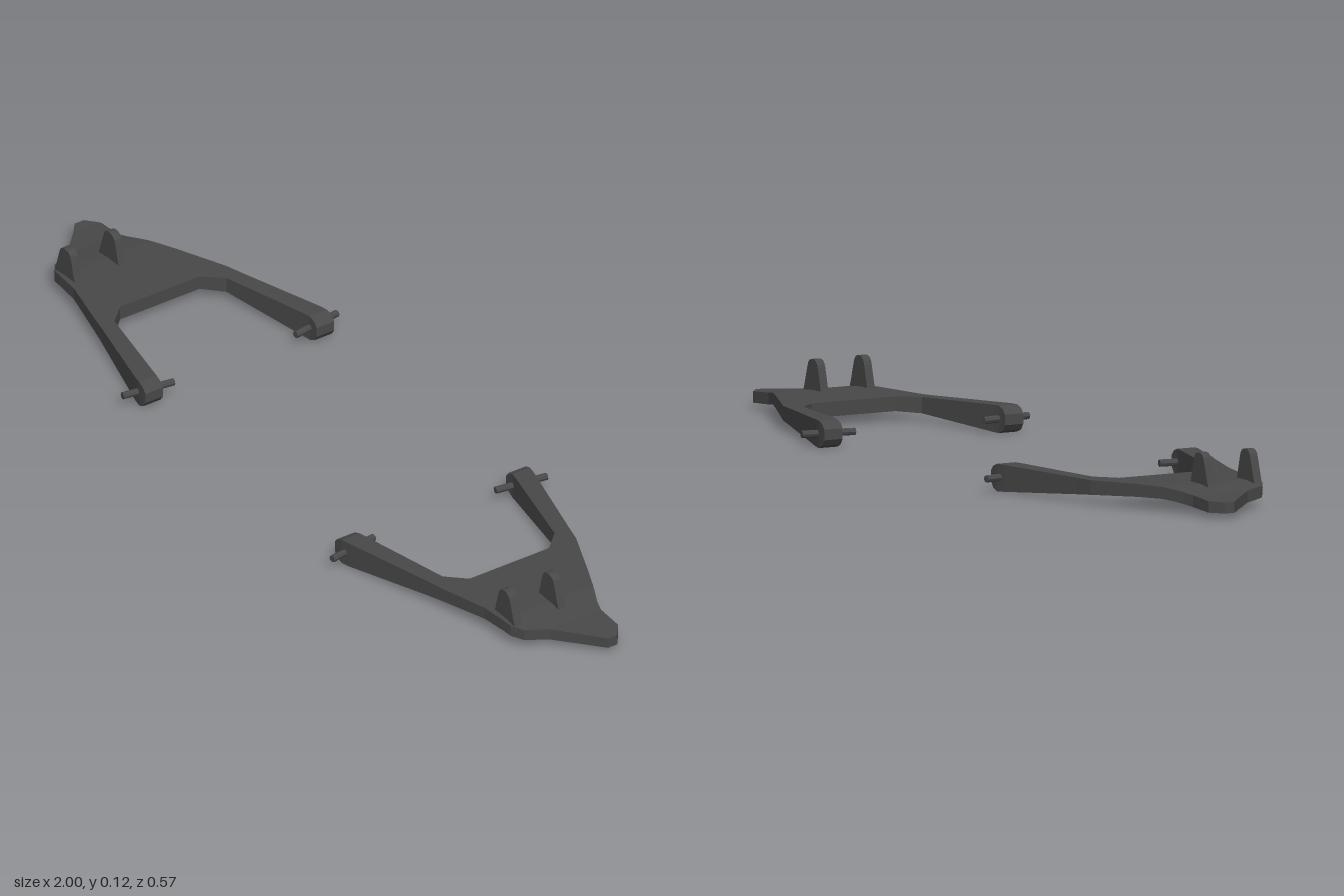
import * as THREE from 'three';

const material = new THREE.MeshStandardMaterial({ color: 0x484848, flatShading: true });

// Loft rectangular sections [x, zBack, zFront, yBottom, yTop] along +x, with end caps.
function loft(sections) {
  const pos = [];
  const corners = ([x, z0, z1, y0, y1]) => [[x, y0, z0], [x, y0, z1], [x, y1, z1], [x, y1, z0]];
  const quad = (a, b, c, d) => pos.push(...a, ...b, ...c, ...a, ...c, ...d);
  const rings = sections.map(corners);
  for (let i = 0; i < rings.length - 1; i++) {
    for (let j = 0; j < 4; j++) {
      const k = (j + 1) % 4;
      quad(rings[i][j], rings[i + 1][j], rings[i + 1][k], rings[i][k]);
    }
  }
  const a = rings[0], b = rings[rings.length - 1];
  quad(a[0], a[1], a[2], a[3]);
  quad(b[3], b[2], b[1], b[0]);
  const geo = new THREE.BufferGeometry();
  geo.setAttribute('position', new THREE.Float32BufferAttribute(pos, 3));
  geo.computeVertexNormals();
  return geo;
}

// Mirror a geometry in x, keeping its faces pointing outwards.
function mirrorX(source) {
  const geo = source.index ? source.toNonIndexed() : source.clone();
  geo.scale(-1, 1, 1);
  const p = geo.attributes.position;
  const a = new THREE.Vector3(), b = new THREE.Vector3();
  for (let i = 0; i < p.count; i += 3) {
    a.fromBufferAttribute(p, i + 1);
    b.fromBufferAttribute(p, i + 2);
    p.setXYZ(i + 1, b.x, b.y, b.z);
    p.setXYZ(i + 2, a.x, a.y, a.z);
  }
  geo.computeVertexNormals();
  return geo;
}

// Arm leg: rounded eyelet end, tapering into the plate; [x, inner z, outer z, yBottom, yTop].
function legGeometry(side, outerAtPlate) {
  const sections = [
    [0.355, 0.203, 0.249, 0.02, 0.043],
    [0.364, 0.203, 0.249, 0.007, 0.054],
    [0.38, 0.202, 0.248, 0.0, 0.06],
    [0.4, 0.198, 0.244, 0.001, 0.06],
    [0.615, 0.148, outerAtPlate + 0.01, 0.018, 0.054],
    [0.655, 0.105, outerAtPlate, 0.021, 0.053],
  ];
  return loft(sections.map(([x, inner, outer, y0, y1]) =>
    side > 0 ? [x, inner, outer, y0, y1] : [x, -outer, -inner, y0, y1]));
}

// Pivot pin, square to its leg.
function pinGeometry(side) {
  const geo = new THREE.CylinderGeometry(0.008, 0.008, 0.124, 8);
  geo.rotateX(Math.PI / 2);
  geo.rotateY(side * 0.15);
  geo.translate(0.384, 0.031, side * 0.222);
  return geo;
}

// Upright tab with a rounded top.
function tabGeometry(z) {
  const s = new THREE.Shape();
  s.moveTo(0.783, 0.04);
  s.lineTo(0.866, 0.04);
  s.lineTo(0.858, 0.062);
  s.lineTo(0.845, 0.104);
  s.quadraticCurveTo(0.841, 0.122, 0.823, 0.122);
  s.quadraticCurveTo(0.805, 0.122, 0.801, 0.104);
  s.lineTo(0.79, 0.062);
  const geo = new THREE.ExtrudeGeometry(s, { depth: 0.019, bevelEnabled: false, curveSegments: 4 });
  geo.translate(0, 0, z - 0.0095);
  return geo;
}

export function createModel() {
  // Plate narrowing to the outer tip.
  const plate = loft([
    [0.655, -0.176, 0.175, 0.021, 0.053],
    [0.77, -0.125, 0.146, 0.027, 0.055],
    [0.83, -0.098, 0.141, 0.028, 0.054],
    [0.855, -0.086, 0.137, 0.025, 0.051],
    [0.88, -0.074, 0.12, 0.021, 0.047],
    [0.905, -0.066, 0.07, 0.017, 0.043],
    [0.97, -0.066, 0.007, 0.013, 0.038],
    [1.0, -0.042, -0.018, 0.013, 0.037],
  ]);
  const parts = {
    plate,
    frontLeg: legGeometry(1, 0.175),
    backLeg: legGeometry(-1, 0.176),
    frontPin: pinGeometry(1),
    backPin: pinGeometry(-1),
    frontTab: tabGeometry(0.122),
    backTab: tabGeometry(0.006),
  };

  const model = new THREE.Group();
  model.name = 'suspensionArms';
  for (const side of ['left', 'right']) {
    const arm = new THREE.Group();
    arm.name = side + 'Arm';
    for (const [name, geo] of Object.entries(parts)) {
      const mesh = new THREE.Mesh(side === 'left' ? geo : mirrorX(geo), material);
      mesh.name = name;
      arm.add(mesh);
    }
    model.add(arm);
  }
  return model;
}
